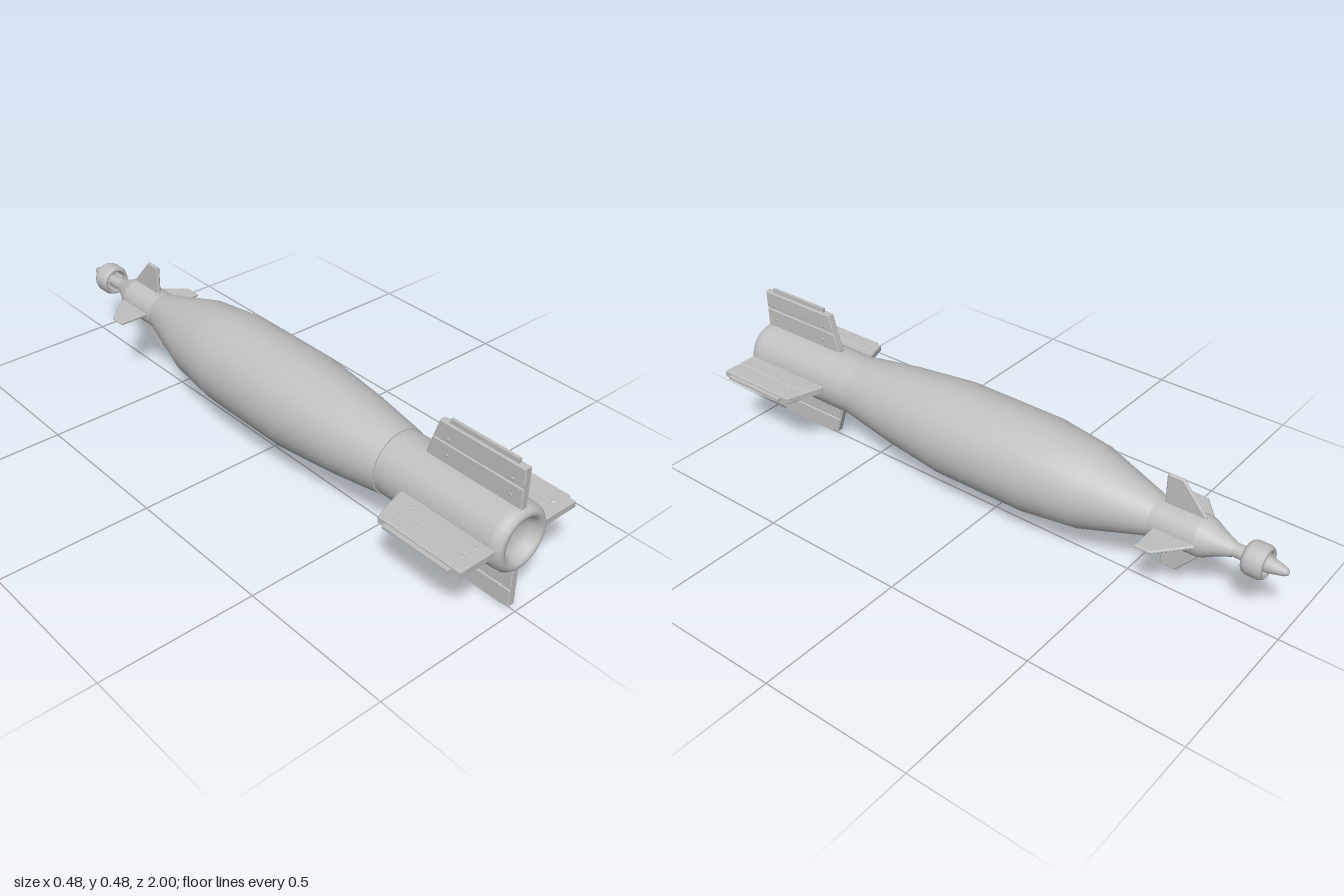
import * as THREE from 'three';

const AXIS_Y = 0.24;

export function createModel() {
  const grey = new THREE.MeshStandardMaterial({ color: 0xbfbfbf });
  grey.name = 'light grey';

  const model = new THREE.Group();
  const core = new THREE.Group();
  core.name = 'bomb';
  core.position.y = AXIS_Y;
  model.add(core);

  const add = (parent, name, geometry) => {
    const mesh = new THREE.Mesh(geometry, grey);
    mesh.name = name;
    parent.add(mesh);
    return mesh;
  };

  // Profile of [z, radius] pairs turned about the long axis
  const turn = (name, profile, segments = 32) => {
    const points = profile.map(([z, r]) => new THREE.Vector2(r, z));
    return add(core, name, new THREE.LatheGeometry(points, segments).rotateX(Math.PI / 2));
  };

  // Plate outlined in [z, radius], centred on x = 0
  const plate = (outline, thickness, bevel = 0) => {
    const shape = new THREE.Shape(outline.map(([z, r]) => new THREE.Vector2(z, r)));
    const depth = thickness - 2 * bevel;
    return new THREE.ExtrudeGeometry(shape, {
      depth, bevelEnabled: bevel > 0, bevelThickness: bevel, bevelSize: bevel,
      bevelOffset: -bevel, bevelSegments: 1,
    }).translate(0, 0, -depth / 2).rotateY(-Math.PI / 2);
  };

  // Main body and its two end faces
  turn('body', [[-0.59, 0.062], [-0.36, 0.132], [-0.18, 0.154], [0.15, 0.155],
    [0.37, 0.132], [0.545, 0.106]]);
  turn('bodyFrontFace', [[-0.59, 0], [-0.59, 0.062]]);
  turn('bodyRearFace', [[0.545, 0.106], [0.545, 0.09]]);

  // Tail tube with a rounded lip and a dished end
  turn('tailTube', [[0.54, 0.102], [0.965, 0.102]]);
  turn('tailLip', [[0.965, 0.102], [0.985, 0.099], [0.996, 0.09], [1, 0.082],
    [0.997, 0.073], [0.99, 0.068]]);
  turn('tailDish', [[0.99, 0.068], [0.968, 0.055], [0.955, 0.035], [0.95, 0]]);

  // Guidance section
  turn('noseCollar', [[-0.735, 0.063], [-0.585, 0.063]]);
  turn('noseTaper', [[-0.835, 0.022], [-0.79, 0.04], [-0.755, 0.058], [-0.735, 0.063]]);
  turn('noseRod', [[-0.945, 0.021], [-0.83, 0.021]], 20);
  turn('noseTip', [[-1, 0], [-0.998, 0.008], [-0.99, 0.013], [-0.965, 0.019],
    [-0.94, 0.025], [-0.925, 0.021]], 20);

  // Ring around the seeker, held by four struts
  turn('seekerRing', [[-0.935, 0.036], [-0.94, 0.042], [-0.936, 0.048], [-0.925, 0.052],
    [-0.89, 0.052], [-0.878, 0.048], [-0.873, 0.042], [-0.878, 0.036], [-0.935, 0.036]], 24);

  // Four forward fins, four tail fins
  for (let i = 0; i < 4; i++) {
    const angle = i * Math.PI / 2;

    const strut = add(core, 'seekerStrut', new THREE.BoxGeometry(0.008, 0.022, 0.04)
      .translate(0, 0.028, -0.905));
    strut.rotation.z = angle;

    const front = add(core, 'frontFin', plate(
      [[-0.607, 0.05], [-0.607, 0.16], [-0.66, 0.16], [-0.742, 0.066], [-0.742, 0.05]].reverse(),
      0.012, 0.004));
    front.rotation.z = angle;

    const fin = new THREE.Group();
    fin.name = 'tailFin';
    fin.rotation.z = angle;
    core.add(fin);

    add(fin, 'finPanel', plate(
      [[0.65, 0.09], [0.985, 0.09], [0.985, 0.226], [0.69, 0.226], [0.65, 0.106]], 0.018));
    add(fin, 'innerRail', plate(
      [[0.652, 0.098], [0.985, 0.098], [0.985, 0.163], [0.671, 0.163]], 0.025, 0.003));
    add(fin, 'outerRail', plate(
      [[0.674, 0.172], [0.985, 0.172], [0.985, 0.226], [0.69, 0.226]], 0.025, 0.003));
    add(fin, 'finTip', plate(
      [[0.72, 0.22], [0.955, 0.22], [0.955, 0.24], [0.72, 0.24]], 0.01));

    // Small hinge bumps on both faces
    for (const r of [0.127, 0.178]) {
      for (const z of [0.725, 0.945]) {
        const bump = add(fin, 'hingeBump', new THREE.SphereGeometry(1, 12, 8));
        bump.scale.set(0.015, 0.01, 0.013);
        bump.position.set(0, r, z);
      }
    }
  }

  return model;
}
